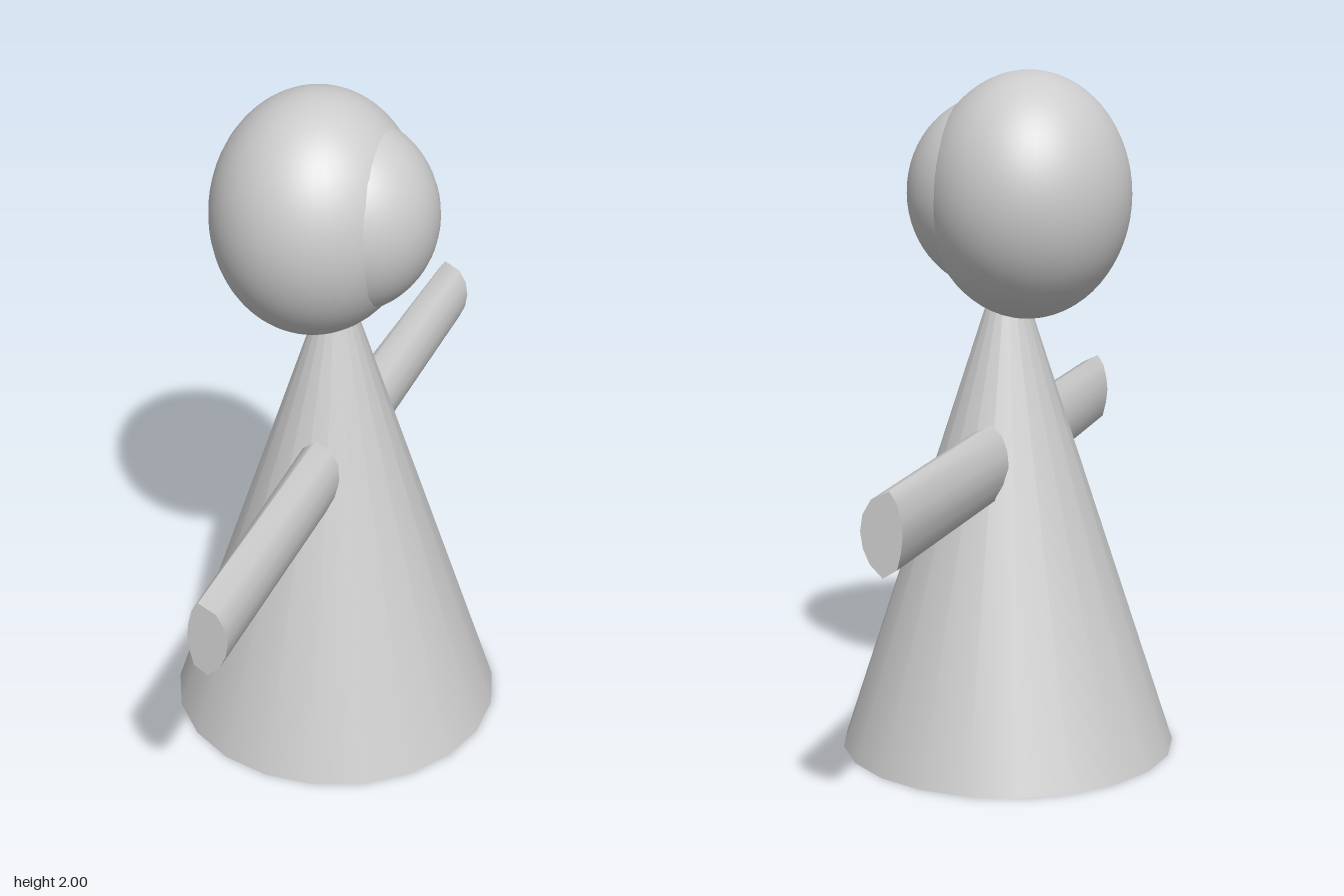
import * as THREE from 'three';

const clay = new THREE.MeshStandardMaterial({ color: 0xcccccc });
clay.name = 'clay grey';

function addPart(group, name, geometry, x = 0, y = 0, z = 0) {
  const mesh = new THREE.Mesh(geometry, clay);
  mesh.name = name;
  mesh.position.set(x, y, z);
  group.add(mesh);
  return mesh;
}

function ellipsoid(rx, ry, rz) {
  return new THREE.SphereGeometry(1, 48, 32).scale(rx, ry, rz);
}

// Lens-shaped arm section, counter-clockwise from the right; the left side narrows by `taper`
const ARM = [
  [0.08, 0.89], [0.073, 0.935], [0.05, 0.975], [0, 1.0], [-0.04, 0.97], [-0.062, 0.925],
  [-0.07, 0.885], [-0.06, 0.84], [-0.038, 0.795], [0.02, 0.77], [0.055, 0.805], [0.073, 0.845],
];
function armSection(taper) {
  return ARM.map(([x, y]) => [x < 0 ? x * taper : x, y]);
}

// Bar that is widest at the middle and tapers to both ends
function armBar() {
  const rows = [[-1, 0.5], [0, 1], [1, 0.5]];
  const n = ARM.length;
  const positions = [];
  const index = [];
  rows.forEach(([z, taper], i) => {
    armSection(taper).forEach(([x, y], j) => {
      positions.push(x, y, z);
      if (i === rows.length - 1) return;
      const a = i * n + j;
      const b = i * n + (j + 1) % n;
      index.push(a, b, b + n, a, b + n, a + n);
    });
  });
  const geometry = new THREE.BufferGeometry();
  geometry.setAttribute('position', new THREE.Float32BufferAttribute(positions, 3));
  geometry.setIndex(index);
  geometry.computeVertexNormals();
  return geometry;
}

export function createModel() {
  const model = new THREE.Group();
  model.name = 'figure';

  // Conical body with a closed base
  addPart(model, 'body', new THREE.ConeGeometry(0.495, 1.52, 21, 1, false, -Math.PI / 2), 0, 0.76, 0);

  // Arms in one bar through the body, with flat ends
  const arms = new THREE.Group();
  arms.name = 'arms';
  addPart(arms, 'armBar', armBar());
  const endShape = new THREE.Shape(armSection(0.5).map(([x, y]) => new THREE.Vector2(x, y)));
  addPart(arms, 'frontArmEnd', new THREE.ShapeGeometry(endShape), 0, 0, 1);
  const backEnd = new THREE.Shape(armSection(0.5).map(([x, y]) => new THREE.Vector2(-x, y)));
  addPart(arms, 'backArmEnd', new THREE.ShapeGeometry(backEnd), 0, 0, -1).rotation.y = Math.PI;
  model.add(arms);

  // Head with a rounded face bulging from its left side
  addPart(model, 'head', ellipsoid(0.295, 0.355, 0.325), -0.063, 1.645, -0.005);
  addPart(model, 'face', ellipsoid(0.27, 0.285, 0.256), 0.02, 1.65, -0.01);

  return model;
}
